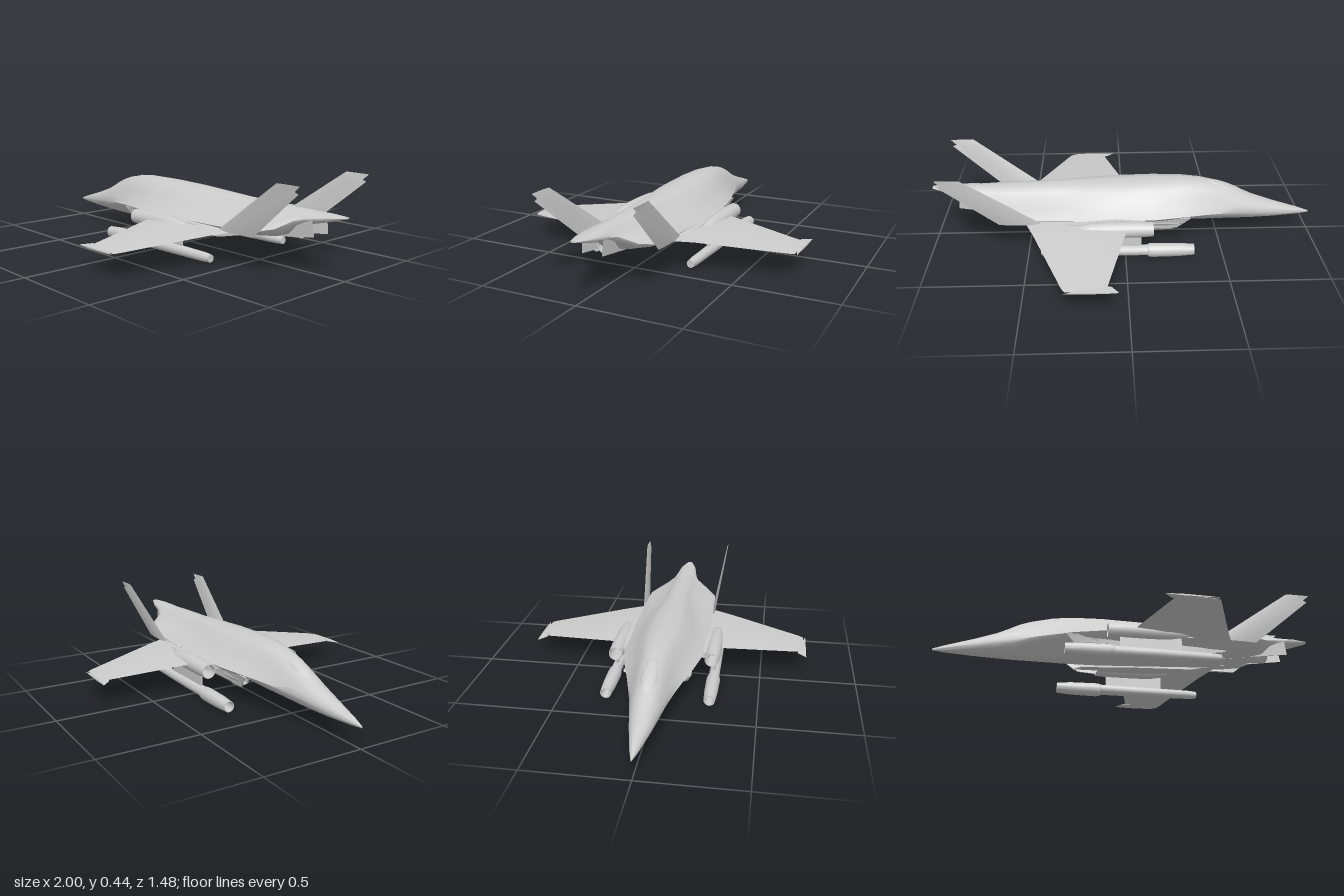
import * as THREE from 'three';
import { toCreasedNormals } from 'three/addons/utils/BufferGeometryUtils.js';

const paint = new THREE.MeshStandardMaterial({ color: 0xcccccc });
paint.name = 'light grey paint';
paint.side = THREE.DoubleSide;

// Surface through closed rings of equal point count, capped at both ends
function loft(rings) {
  const n = rings[0].length, pos = [], index = [];
  rings.forEach(r => r.forEach(p => pos.push(...p)));
  for (let i = 0; i < rings.length - 1; i++) {
    for (let j = 0; j < n; j++) {
      const a = i * n + j, b = i * n + (j + 1) % n;
      index.push(a, b, a + n, b, b + n, a + n);
    }
  }
  const last = (rings.length - 1) * n;
  for (let j = 1; j < n - 1; j++) {
    index.push(0, j + 1, j, last, last + j, last + j + 1);
  }
  const g = new THREE.BufferGeometry();
  g.setAttribute('position', new THREE.Float32BufferAttribute(pos, 3));
  g.setIndex(index);
  return g;
}

// Thin aerofoil; each section is [leading x, trailing x, y, z, half thickness]
function foil(sections, upright = false) {
  return loft(sections.map(([le, te, y, z, t]) => {
    const at = (f, d) => [le + (te - le) * f, y + (upright ? 0 : d), z + (upright ? d : 0)];
    const ring = [at(0, 0), at(0.3, t), at(0.7, t * 0.7), at(1, 0), at(0.7, -t * 0.7), at(0.3, -t)];
    return upright ? ring.reverse() : ring;
  }));
}

// Turned body along x from [x, radius] pairs
function turned(profile, y, z) {
  const g = new THREE.LatheGeometry(profile.map(([x, r]) => new THREE.Vector2(r, x)), 20);
  return g.rotateZ(-Math.PI / 2).translate(0, y, z);
}

function add(group, name, geometry, crease = 0.6) {
  const mesh = new THREE.Mesh(toCreasedNormals(geometry, crease), paint);
  mesh.name = name;
  group.add(mesh);
}

// Adds a part and its mirror image across the centre line
function pair(group, name, geometry, crease) {
  const flipped = geometry.toNonIndexed();
  const p = flipped.attributes.position, v = new THREE.Vector3(), w = new THREE.Vector3();
  for (let i = 0; i < p.count; i += 3) {
    v.fromBufferAttribute(p, i + 1);
    w.fromBufferAttribute(p, i + 2);
    p.setXYZ(i + 1, w.x, w.y, w.z);
    p.setXYZ(i + 2, v.x, v.y, v.z);
  }
  for (let i = 0; i < p.count; i++) p.setZ(i, -p.getZ(i));
  add(group, name + 'Left', geometry, crease);
  add(group, name + 'Right', flipped, crease);
}

// Half outlines as [width fraction, height fraction] from crown to keel
const round = [[0, 1], [0.31, 0.95], [0.59, 0.81], [0.81, 0.59], [0.95, 0.31], [1, 0],
  [0.95, -0.31], [0.81, -0.59], [0.59, -0.81], [0.31, -0.95], [0, -1]];
const bell = [[0, 1], [0.28, 0.92], [0.46, 0.75], [0.62, 0.48], [0.81, 0.2], [1, 0],
  [0.88, -0.22], [0.57, -0.42], [0.36, -0.75], [0.2, -0.96], [0, -1]];
const spine = [[0, 1], [0.18, 0.93], [0.3, 0.77], [0.42, 0.54], [0.75, 0.3], [1, 0],
  [0.9, -0.3], [0.62, -0.6], [0.4, -0.85], [0.2, -0.96], [0, -1]];

// Fuselage stations: x, half width, crown y, chine y, keel y, bell blend, spine blend
const stations = [
  [-1, 0.003, 0.109, 0.105, 0.1, 0, 0],
  [-0.94, 0.02, 0.13, 0.112, 0.094, 0, 0],
  [-0.8, 0.05, 0.172, 0.128, 0.088, 0, 0],
  [-0.68, 0.073, 0.215, 0.145, 0.084, 0.15, 0],
  [-0.6, 0.088, 0.255, 0.152, 0.082, 0.4, 0],
  [-0.5, 0.113, 0.296, 0.16, 0.082, 0.7, 0],
  [-0.4, 0.14, 0.32, 0.168, 0.082, 0.9, 0],
  [-0.3, 0.17, 0.329, 0.175, 0.083, 1, 0],
  [-0.15, 0.203, 0.329, 0.18, 0.088, 1, 0],
  [0.05, 0.212, 0.323, 0.182, 0.098, 1, 0],
  [0.2, 0.21, 0.317, 0.183, 0.107, 1, 0.4],
  [0.4, 0.205, 0.308, 0.186, 0.122, 1, 1],
  [0.58, 0.203, 0.302, 0.193, 0.143, 1, 1],
  [0.66, 0.195, 0.299, 0.2, 0.155, 1, 1],
  [0.72, 0.15, 0.298, 0.215, 0.172, 1, 1],
  [0.77, 0.08, 0.296, 0.25, 0.21, 0.5, 0.5],
  [0.82, 0.062, 0.295, 0.262, 0.233, 0.2, 0],
  [0.92, 0.045, 0.293, 0.277, 0.258, 0, 0],
  [1, 0.015, 0.291, 0.287, 0.282, 0, 0],
];

function fuselageRing([x, w, top, mid, low, b, s]) {
  const half = round.map((r, k) => {
    const f = [0, 1].map(c => {
      const body = bell[k][c] + (spine[k][c] - bell[k][c]) * s;
      return r[c] + (body - r[c]) * b;
    });
    return [x, mid + f[1] * (f[1] > 0 ? top - mid : mid - low), f[0] * w];
  });
  const other = half.slice(1, -1).reverse().map(([px, y, z]) => [px, y, -z]);
  return [...half, ...other];
}

// Rectangular ring across x
const boxRing = (x, y0, y1, z0, z1) => [[x, y1, z0], [x, y1, z1], [x, y0, z1], [x, y0, z0]];

export function createModel() {
  const model = new THREE.Group();
  model.name = 'jetAircraft';

  add(model, 'fuselage', loft(stations.map(fuselageRing)), 0.9);

  // Canopy, lying nearly flush with the forebody
  const canopy = new THREE.SphereGeometry(1, 24, 12).scale(0.15, 0.034, 0.045);
  add(model, 'canopy', canopy.rotateZ(0.4).translate(-0.55, 0.243, 0), 1);

  // Wings with a leading edge step and a tip rail
  pair(model, 'wing', foil([
    [0.03, 0.52, 0.172, 0.17, 0.014],
    [0.0, 0.465, 0.165, 0.3, 0.011],
    [0.1, 0.31, 0.124, 0.7, 0.004],
    [0.11, 0.295, 0.121, 0.725, 0.003],
  ]));
  pair(model, 'wingTipRail', foil([
    [0.08, 0.15, 0.125, 0.695, 0.004],
    [0.045, 0.3, 0.12, 0.738, 0.004],
  ]));

  // Swept fins leaning outward, with a notched tip
  pair(model, 'tailFin', foil([
    [0.42, 0.64, 0.17, 0.205, 0.009],
    [0.76, 0.925, 0.41, 0.243, 0.004],
    [0.772, 0.905, 0.418, 0.244, 0.004],
    [0.81, 0.935, 0.445, 0.249, 0.002],
  ], true));

  // Engine nacelles, hollow at the front, buried in the wing roots
  pair(model, 'nacelle', turned([
    [-0.03, 0], [-0.03, 0.03], [-0.14, 0.034], [-0.14, 0.037], [-0.05, 0.041],
    [0.08, 0.041], [0.17, 0.037], [0.23, 0.026], [0.27, 0.006], [0.275, 0],
  ], 0.158, 0.252));
  pair(model, 'nacelleFairing', loft([
    boxRing(-0.1, 0.15, 0.18, 0.16, 0.23),
    boxRing(0.05, 0.14, 0.19, 0.16, 0.25),
    boxRing(0.3, 0.155, 0.18, 0.16, 0.24),
  ]));

  // Slung pods: a wide front sleeve and a slimmer rear tube
  pair(model, 'podSleeve', turned([
    [-0.28, 0], [-0.28, 0.02], [-0.35, 0.024], [-0.35, 0.028], [-0.27, 0.034],
    [-0.14, 0.036], [-0.115, 0.034], [-0.11, 0.026],
  ], 0.04, 0.262));
  pair(model, 'podTube', turned([
    [-0.12, 0.028], [0.1, 0.027], [0.39, 0.023], [0.43, 0.019], [0.43, 0],
  ], 0.042, 0.262));
  pair(model, 'podPylon', loft([
    boxRing(-0.08, 0.06, 0.13, 0.256, 0.266),
    boxRing(0.23, 0.06, 0.16, 0.256, 0.266),
  ]));

  // Belly intakes with raked open mouths and long ducts
  const mouth = (x, inset) => [
    [x + 0.05, 0.17 - inset, 0.085 + inset], [x, 0.168 - inset, 0.17 - inset],
    [x + 0.07, 0.1 + inset, 0.145 - inset], [x + 0.1, 0.095 + inset, 0.085 + inset],
  ];
  pair(model, 'intakeDuct', loft([
    mouth(-0.2, 0.006), mouth(-0.34, 0.006), mouth(-0.34, 0),
    boxRing(0.05, 0.105, 0.17, 0.07, 0.155),
    boxRing(0.36, 0.115, 0.17, 0.07, 0.14),
    boxRing(0.5, 0.145, 0.175, 0.07, 0.12),
  ]), 0.4);

  // Small angled doors under the body
  pair(model, 'bellyDoor', loft([
    [[-0.3, 0.13, 0.15], [-0.3, 0.13, 0.156], [-0.25, 0.085, 0.13], [-0.25, 0.085, 0.124]],
    [[-0.12, 0.13, 0.15], [-0.12, 0.13, 0.156], [-0.16, 0.075, 0.122], [-0.16, 0.075, 0.116]],
  ]));

  // Exhaust duct and side paddles below the tail boom
  add(model, 'exhaustNozzle', turned([
    [0.5, 0.045], [0.66, 0.05], [0.76, 0.042], [0.76, 0.036], [0.66, 0.036], [0.66, 0],
  ], 0.198, 0));
  pair(model, 'exhaustPaddle', foil([
    [0.5, 0.865, 0.14, 0.05, 0.004],
    [0.55, 0.855, 0.22, 0.055, 0.005],
  ], true).applyMatrix4(new THREE.Matrix4().set(
    1, 0, 0, 0, 0.14, 1, 0, -0.075, 0, 0, 1, 0, 0, 0, 0, 1)));

  return model;
}
